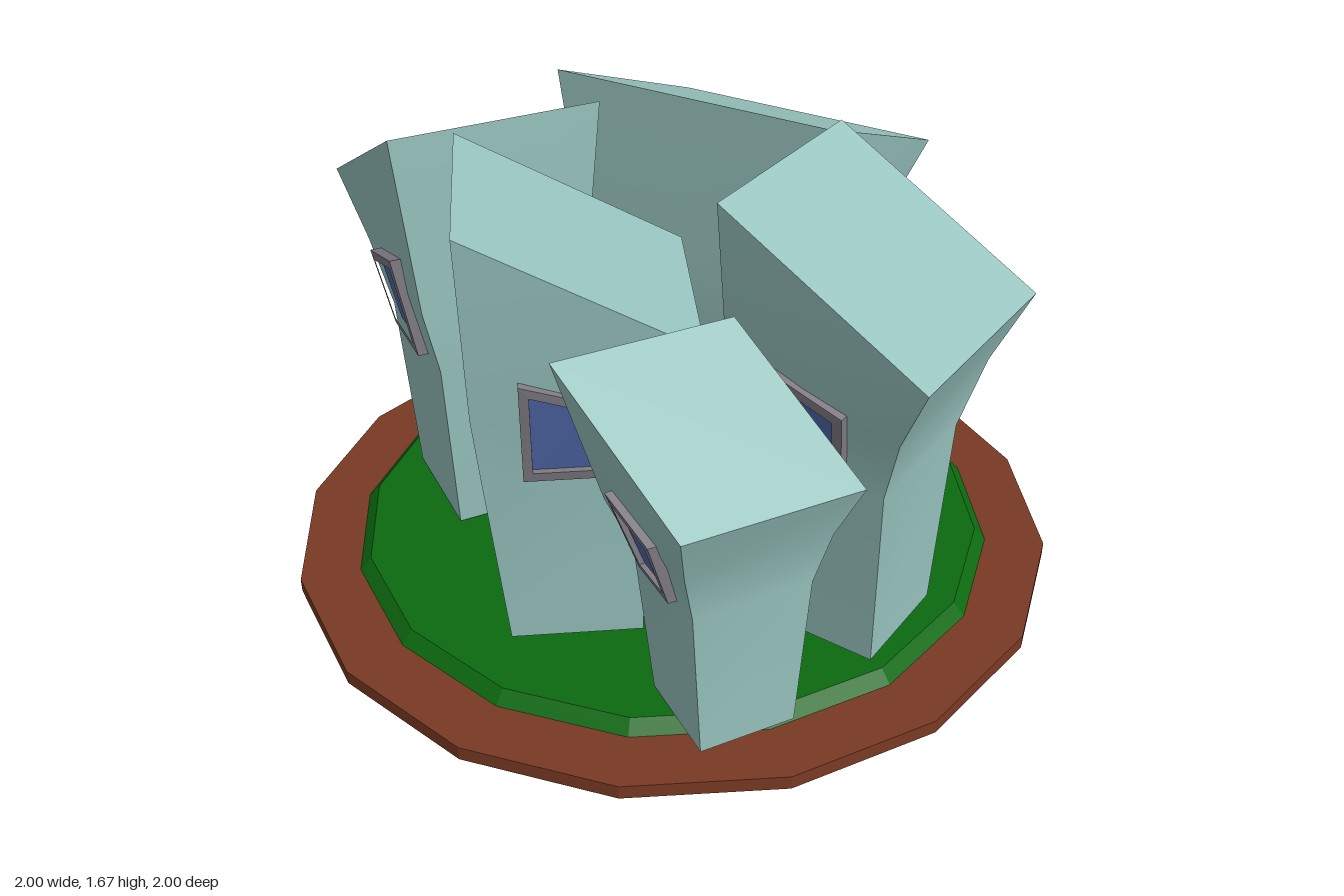
import * as THREE from 'three';

const mat = (name, color) => Object.assign(new THREE.MeshStandardMaterial({ color }), { name });

// House cross-sections: height on the tall side, height on the low side, tall z, low z, half width
const ROWS = [
  [0, 0, -0.195, 0.127, 0.147],
  [0.505, 0.505, -0.24, 0.14, 0.178],
  [0.685, 0.685, -0.252, 0.185, 0.215],
  [1.152, 0.862, -0.26, 0.26, 0.26],
];
// Window outline as [z, y], on both side walls
const WINDOW = [[-0.143, 0.505], [0.045, 0.505], [0.058, 0.72], [-0.143, 0.787]];

// Half width of the side wall at a point
function wallX(y, z) {
  if (y <= 0.505) return 0.147 + (y / 0.505) * 0.031;
  if (y <= 0.685) return 0.178 + ((y - 0.505) / 0.18) * 0.037;
  const top = 1.007 - z * 0.558;
  return 0.215 + ((y - 0.685) / (top - 0.685)) * 0.045;
}

// Sideways warp that grows towards the roof
function warp(geo, [shift, skew]) {
  const p = geo.attributes.position;
  for (let i = 0; i < p.count; i++) {
    const t = Math.pow(Math.max(0, (wallX(p.getY(i), p.getZ(i)) - 0.147) / 0.113), 2);
    p.setX(i, p.getX(i) + t * (shift + skew * p.getZ(i)));
  }
  geo.computeVertexNormals();
  return geo;
}

// Flared body: four smooth walls, slanted roof, floor
function bodyGeometry() {
  const pos = [], index = [];
  const ring = ([yHi, yLo, hi, lo, w]) => [[w, yLo, lo], [w, yHi, hi], [-w, yHi, hi], [-w, yLo, lo]];
  const rings = ROWS.map(ring);
  for (let k = 0; k < 4; k++) {
    const s = pos.length / 3;
    rings.forEach(r => pos.push(...r[k], ...r[(k + 1) % 4]));
    for (let j = 0; j < rings.length - 1; j++) {
      const a = s + j * 2;
      index.push(a, a + 1, a + 3, a, a + 3, a + 2);
    }
  }
  const t = pos.length / 3;
  rings[3].forEach(c => pos.push(...c));
  rings[0].forEach(c => pos.push(...c));
  index.push(t, t + 1, t + 2, t, t + 2, t + 3, t + 4, t + 6, t + 5, t + 4, t + 7, t + 6);
  const geo = new THREE.BufferGeometry();
  geo.setAttribute('position', new THREE.Float32BufferAttribute(pos, 3));
  geo.setIndex(index);
  return geo;
}

// Extruded outline laid onto the side wall (side = +1 or -1)
function onWall(shape, side, from, depth) {
  const geo = new THREE.ExtrudeGeometry(shape, { depth, bevelEnabled: false });
  const p = geo.attributes.position;
  for (let i = 0; i < p.count; i++) {
    const z = -side * p.getX(i), y = p.getY(i);
    p.setXYZ(i, side * (wallX(y, z) + from + p.getZ(i)), y, z);
  }
  return geo;
}

export function createModel() {
  const stone = mat('stone grey', 0x7b7d88);
  const earth = mat('earth brown', 0x793a23);
  const grass = mat('grass green', 0x0c6a10);
  const plaster = mat('pale teal', 0x98c4bf);
  const frameMat = mat('frame grey', 0x807b84);
  const glassMat = mat('glass blue', 0x4f68a8);
  earth.flatShading = grass.flatShading = true;

  const model = new THREE.Group();
  model.name = 'islandVillage';
  const add = (parent, name, geo, material) => {
    const m = new THREE.Mesh(geo, material);
    m.name = name;
    parent.add(m);
    return m;
  };
  const lathe = pts => new THREE.LatheGeometry(pts.map(p => new THREE.Vector2(...p)), 16);

  // Pedestal and dish
  add(model, 'pedestal', lathe([[0.355, 0], [0.305, 0.14], [0.43, 0.24], [0.64, 0.38], [0.77, 0.402]]), stone);
  const foot = add(model, 'pedestalBottom', new THREE.CircleGeometry(0.355, 16), stone);
  foot.rotation.x = Math.PI / 2;
  add(model, 'rim', lathe([[0.77, 0.402], [1, 0.435], [1, 0.472], [0.8, 0.472]]), earth);
  add(model, 'lawn', lathe([[0.845, 0.472], [0.815, 0.505], [0, 0.505]]), grass);

  // Houses: centre x/z, base height, downhill direction, scale, roof warp
  const houses = [
    { name: 'backHouse', at: [0, 0.51, -0.415], dir: [0, -1], scale: [1.41, 1, 1.29] },
    { name: 'rightHouse', at: [-0.53, 0.515, 0.11], dir: [-0.817, -0.577] },
    { name: 'frontHouse', at: [0, 0.515, 0.43], dir: [0.82, -0.57] },
    { name: 'leftHouse', at: [0.61, 0.518, 0.155], dir: [0.996, 0.094] },
    { name: 'smallHouse', at: [0.497, 0.507, 0.617], dir: [0.823, 0.568], scale: [0.82, 0.805, 0.75], lean: [-0.076, 0.25] },
  ];
  const cz = -0.05, cy = 0.63;
  const inner = WINDOW.map(([z, y]) => [cz + (z - cz) * 0.76, cy + (y - cy) * 0.8]);
  for (const { name, at, dir, scale = [1, 1, 1], lean = [0, 0] } of houses) {
    const house = new THREE.Group();
    house.name = name;
    house.position.set(...at);
    house.rotation.y = Math.atan2(dir[0], dir[1]);
    house.scale.set(...scale);
    add(house, 'body', warp(bodyGeometry(), lean), plaster);
    for (const side of [1, -1]) {
      const points = quad => quad.map(([z, y]) => new THREE.Vector2(-side * z, y));
      const shape = new THREE.Shape(points(WINDOW));
      shape.holes.push(new THREE.Path(points(inner)));
      add(house, 'windowFrame', warp(onWall(shape, side, -0.012, 0.038), lean), frameMat);
      add(house, 'windowGlass', warp(onWall(new THREE.Shape(points(inner)), side, 0.002, 0.008), lean), glassMat);
    }
    model.add(house);
  }
  return model;
}
